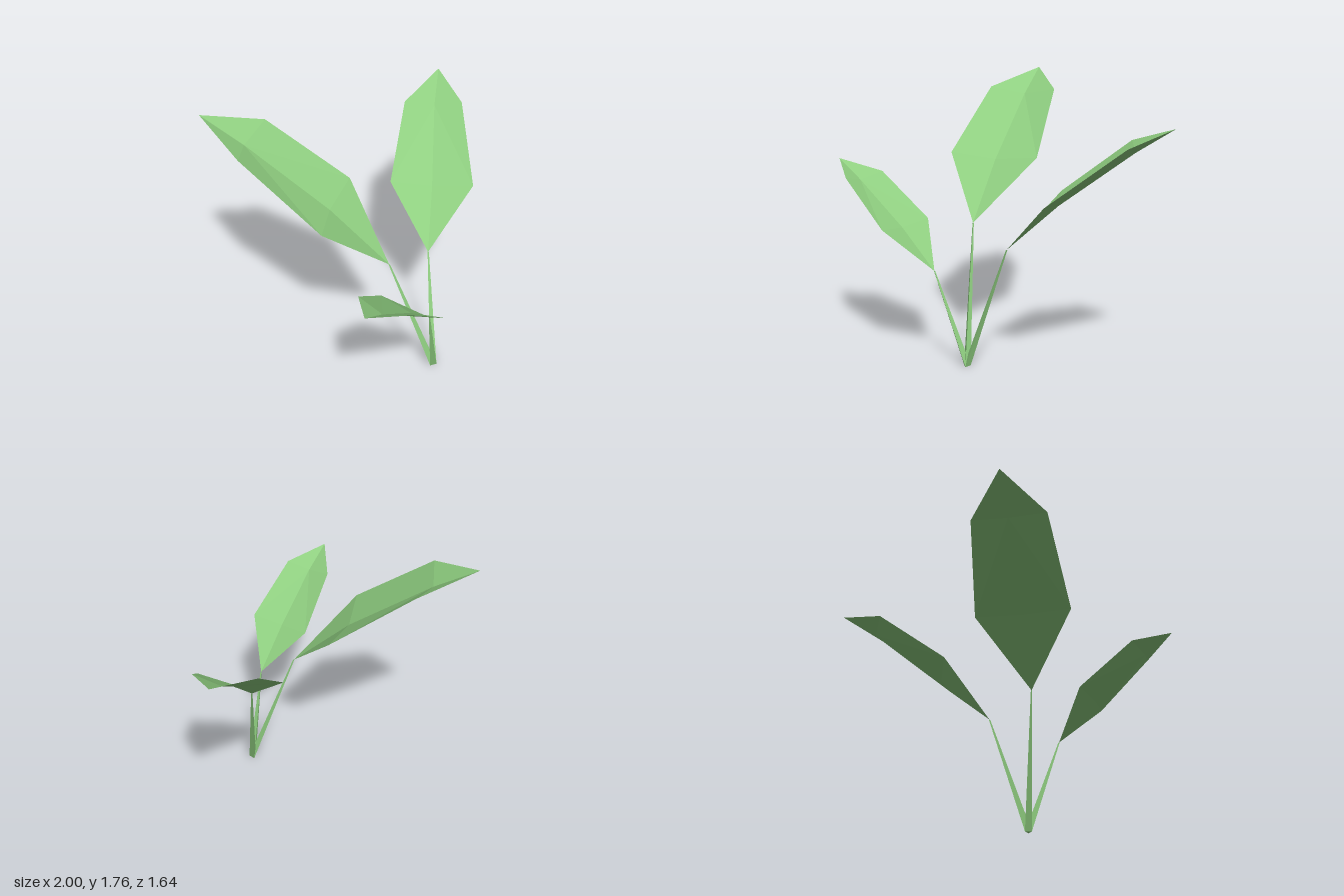
import * as THREE from 'three';

const leafGreen = new THREE.MeshStandardMaterial({ color: 0x8fce80 });
leafGreen.name = 'leaf green';
leafGreen.flatShading = true;
leafGreen.side = THREE.DoubleSide;

// Flat-shaded mesh from corner points and triangle indices
function facets(name, points, faces) {
  const geometry = new THREE.BufferGeometry();
  geometry.setAttribute('position', new THREE.Float32BufferAttribute(points.flat(), 3));
  geometry.setIndex(faces);
  const flat = geometry.toNonIndexed();
  flat.computeVertexNormals();
  const mesh = new THREE.Mesh(flat, leafGreen);
  mesh.name = name;
  return mesh;
}

// Folded blade: 0 base, 1-2 one edge, 3 tip, 4-5 other edge, 6-7 midrib
function leaf(name, base, edgeA, tip, edgeB, midrib) {
  const points = [base, ...edgeA, tip, ...edgeB, ...midrib];
  const faces = [
    0, 1, 6, 1, 2, 7, 1, 7, 6, 2, 3, 7,
    0, 6, 4, 4, 6, 7, 4, 7, 5, 5, 7, 3,
  ];
  return facets(name, points, faces);
}

// Three-sided stem tapering from the shared root to the leaf base
const root = [[-0.035, 0, 0.455], [0.005, 0, 0.478], [0.003, 0, 0.432]];
function stem(name, top) {
  const centre = [-0.009, 0, 0.455];
  const upper = root.map((p) => p.map((v, i) => top[i] + (v - centre[i]) * 0.2));
  const faces = [0, 2, 1, 3, 4, 5];
  for (let i = 0; i < 3; i++) {
    const j = (i + 1) % 3;
    faces.push(i, j, j + 3, i, j + 3, i + 3);
  }
  return facets(name, [...root, ...upper], faces);
}

const leaves = [
  {
    name: 'back', base: [-0.2, 0.86, 0.23], tip: [-0.69, 1.765, -0.82],
    edgeA: [[-0.06, 1.25, -0.2], [-0.34, 1.645, -0.63]],
    edgeB: [[-0.62, 1.25, 0.06], [-0.77, 1.645, -0.43]],
    midrib: [[-0.36, 1.215, -0.105], [-0.58, 1.6, -0.575]],
  },
  {
    name: 'left', base: [0.16, 0.755, 0.265], tip: [1, 1.54, -0.305],
    edgeA: [[0.55, 1.09, 0.325], [0.88, 1.435, -0.02]],
    edgeB: [[0.25, 1.09, -0.12], [0.65, 1.435, -0.32]],
    midrib: [[0.43, 1.05, 0.085], [0.8, 1.39, -0.185]],
  },
  {
    name: 'right', base: [-0.2, 0.6, 0.55], tip: [-1, 1.235, 0.7],
    edgeA: [[-0.47, 0.87, 0.385], [-0.81, 1.15, 0.495]],
    edgeB: [[-0.39, 0.87, 0.805], [-0.75, 1.15, 0.82]],
    midrib: [[-0.46, 0.845, 0.6], [-0.81, 1.115, 0.67]],
  },
];

export function createModel() {
  const plant = new THREE.Group();
  plant.name = 'seedling';
  for (const l of leaves) {
    plant.add(leaf(l.name + 'Leaf', l.base, l.edgeA, l.tip, l.edgeB, l.midrib));
    plant.add(stem(l.name + 'Stem', l.base));
  }
  return plant;
}
